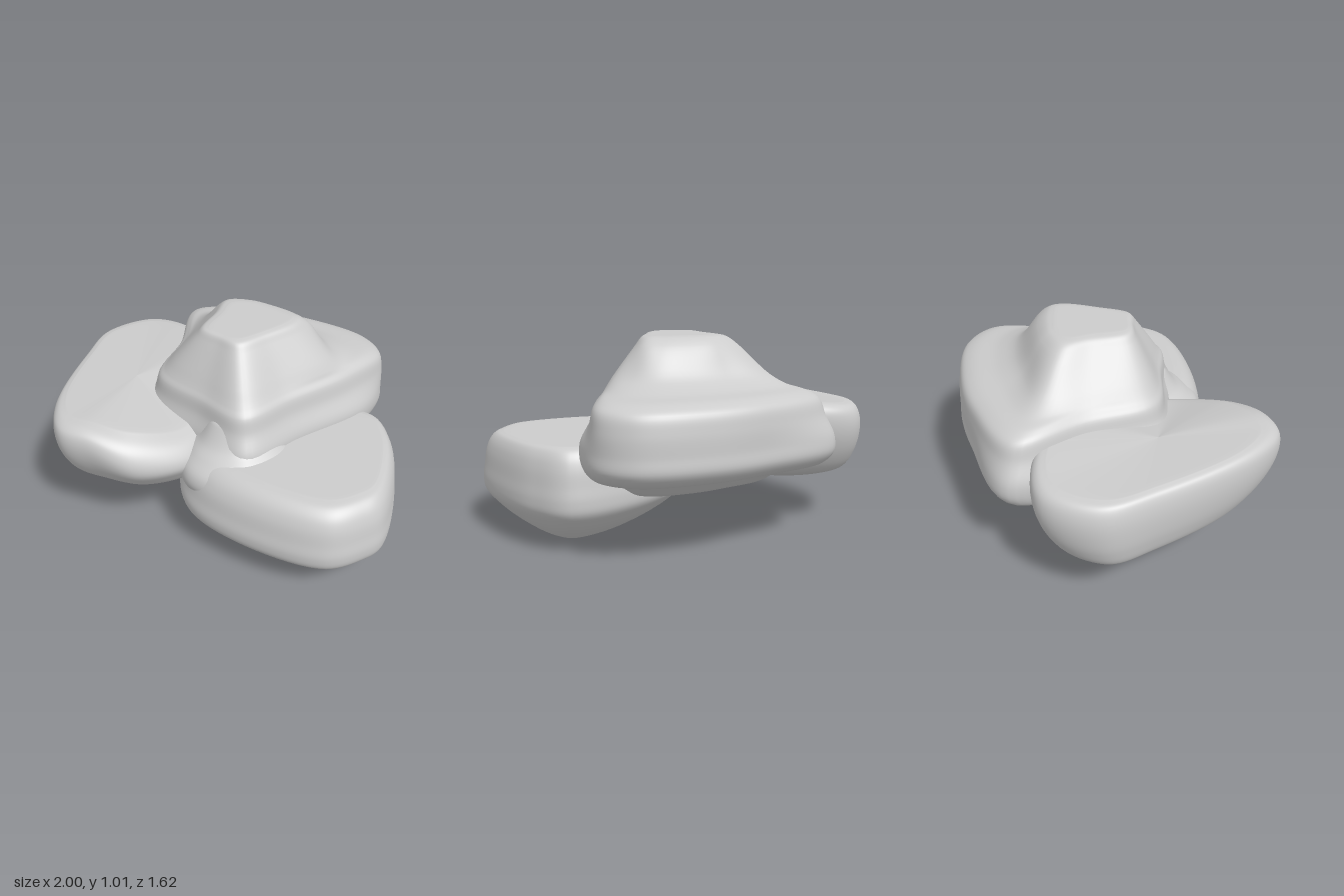
import * as THREE from 'three';

const AROUND = 96, STEPS = 6;
const material = new THREE.MeshStandardMaterial({ color: 0xcccccc, roughness: 0.9 });
const { lerp, smoothstep } = THREE.MathUtils;

// Smooth stone lofted through rings of points, listed from bottom to top
function loft(name, rings) {
  const smooth = rings.map(pts => {
    const c = new THREE.CatmullRomCurve3(pts, true);
    return Array.from({ length: AROUND }, (_, i) => c.getPoint(i / AROUND));
  });
  const columns = Array.from({ length: AROUND }, (_, i) =>
    new THREE.CatmullRomCurve3(smooth.map(r => r[i])));
  const count = (rings.length - 1) * STEPS;
  const rows = [];
  for (let k = 0; k <= count; k++) rows.push(columns.map(c => c.getPoint(k / count)));

  // Close both ends with shrinking rings
  const shrink = (row, s) => {
    const m = row.reduce((a, p) => a.add(p), new THREE.Vector3()).divideScalar(AROUND);
    return row.map(p => p.clone().lerp(m, 1 - s));
  };
  const first = rows[0], last = rows[count];
  for (const s of [0.9, 0.5, 0]) {
    rows.unshift(shrink(first, s));
    rows.push(shrink(last, s));
  }

  const index = [];
  for (let k = 0; k < rows.length - 1; k++) {
    for (let i = 0; i < AROUND; i++) {
      const a = k * AROUND + i, b = k * AROUND + (i + 1) % AROUND;
      index.push(a, b, b + AROUND, a, b + AROUND, a + AROUND);
    }
  }
  const g = new THREE.BufferGeometry().setFromPoints(rows.flat());
  g.setIndex(index);
  g.computeVertexNormals();
  const mesh = new THREE.Mesh(g, material);
  mesh.name = name;
  return mesh;
}

// Rings made by scaling one outline about a centre at levels [y, scaleX, scaleZ]
function scaledRings(outline, [cx, cz], levels) {
  return levels.map(([y, sx, sz = sx]) => outline.map(([x, z]) =>
    new THREE.Vector3(cx + (x - cx) * sx, y, cz + (z - cz) * sz)));
}

// Rings passing from one outline to another at levels [y, amount, amount at the back]
function taperedRings(from, to, levels) {
  return levels.map(([y, t, tBack]) => from.map(([x, z], i) => {
    const f = lerp(t, tBack, smoothstep(-z, 0.4, 0.6));
    return new THREE.Vector3(lerp(x, to[i][0], f), y, lerp(z, to[i][1], f));
  }));
}

export function createModel() {
  const group = new THREE.Group();
  group.name = 'rockCluster';

  // Central peak, spreading into a ledge at the back
  const waist = [[-0.38, 0.25], [0, 0.31], [0.31, 0.32], [0.41, 0], [0.55, -0.42],
    [0.51, -0.68], [0.35, -0.8], [0, -0.79], [-0.3, -0.7], [-0.69, -0.5], [-0.54, -0.13]];
  const plateau = [[-0.09, 0.07], [0, 0.08], [0.08, 0.07], [0.14, -0.06], [0.18, -0.22],
    [0.17, -0.27], [0.1, -0.28], [0, -0.28], [-0.09, -0.27], [-0.16, -0.21], [-0.13, -0.09]];
  group.add(loft('peakRock', [
    ...scaledRings(waist, [0, 0.25], [
      [0.22, 0.4], [0.25, 0.6], [0.34, 0.74], [0.38, 0.84], [0.395, 0.94], [0.46, 1]]),
    ...taperedRings(waist, plateau, [
      [0.54, 0, 0], [0.64, 0.15, 0.01], [0.72, 0.22, 0.05], [0.755, 0.31, 0.16], [0.78, 0.37, 0.42],
      [0.83, 0.48, 0.62], [0.97, 0.8, 0.82], [1.01, 0.9, 0.92], [1.02, 1, 1],
    ]),
  ]));

  // Foot of the peak, flaring down onto the low slab
  const footOutline = [[-0.2, 0.1], [-0.06, 0.36], [0.08, 0.47], [0.24, 0.47],
    [0.4, 0.38], [0.46, 0.08], [0.1, -0.1]];
  group.add(loft('peakFoot', scaledRings(footOutline, [0.12, 0.1], [
    [0.24, 0.6], [0.3, 0.9], [0.38, 1.03], [0.45, 1], [0.51, 0.84], [0.56, 0.68], [0.66, 0.5],
  ])));

  // High slab on the model's right, pointing forward; its inner end droops
  const highOutline = [[-0.45, 0.8], [-0.29, 0.77], [-0.08, 0.67], [0.07, 0.38], [0, 0.1],
    [-0.3, -0.25], [-0.6, -0.38], [-0.88, -0.34], [-1, -0.08], [-0.9, 0.2], [-0.64, 0.66]];
  const highRings = scaledRings(highOutline, [-0.58, 0.1], [
    [0.24, 0.4, 0.46], [0.265, 0.68, 0.64], [0.3, 0.88, 0.77], [0.39, 0.97, 0.9], [0.5, 1, 0.98],
    [0.59, 0.99, 1], [0.645, 0.95, 0.98], [0.67, 0.9, 0.93], [0.68, 0.8, 0.84],
  ]);
  for (const p of highRings.flat()) {
    const top = smoothstep(p.y, 0.35, 0.65);
    p.y -= top * (0.13 * smoothstep(p.x, -0.3, 0.05) + 0.03 * smoothstep(-p.x, 0.5, 1));
  }
  group.add(loft('highSlab', highRings));

  // Low slab on the model's left, with a keel below
  const lowOutline = [[0.08, 0.49], [0.4, 0.53], [0.85, 0.42], [0.97, 0.25], [1, 0.14],
    [0.93, -0.1], [0.78, -0.36], [0.6, -0.49], [0.2, -0.32], [-0.08, 0], [-0.1, 0.3]];
  group.add(loft('lowSlab', scaledRings(lowOutline, [0.56, -0.1], [
    [0.005, 0.1], [0.02, 0.37], [0.08, 0.65], [0.15, 0.86], [0.21, 0.98],
    [0.27, 1], [0.34, 0.98], [0.42, 0.95], [0.475, 0.9], [0.508, 0.83], [0.52, 0.74],
  ])));

  return group;
}
